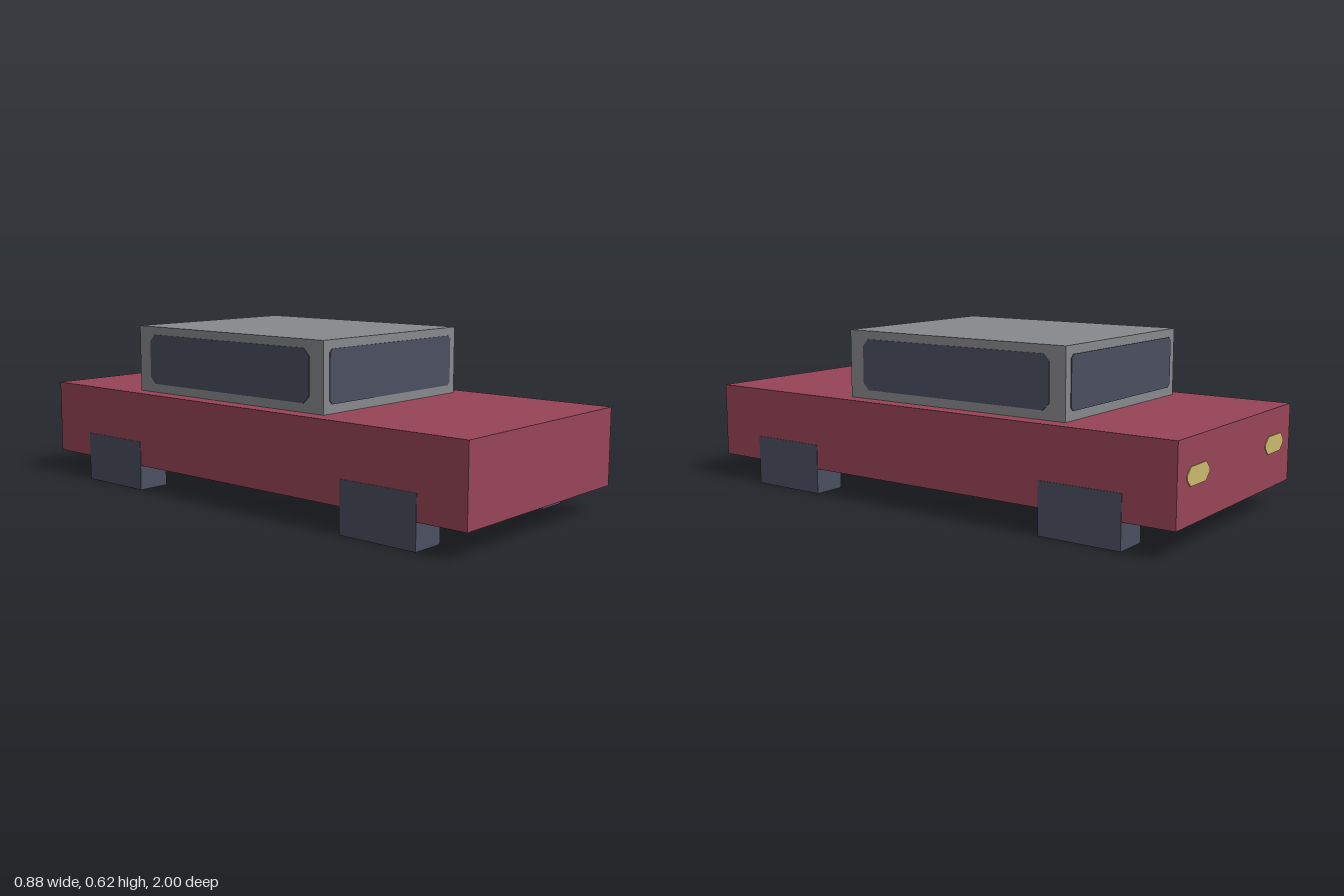
import * as THREE from 'three';

const mat = (name, color) => {
  const m = new THREE.MeshStandardMaterial({ color });
  m.name = name;
  return m;
};

export function createModel() {
  const car = new THREE.Group();
  car.name = 'car';
  const red = mat('red paint', 0x984458);
  const grey = mat('grey cabin', 0x88898d);
  const dark = mat('dark glass and tyre', 0x4b4f5f);
  const yellow = mat('yellow lamp', 0xcbba6d);

  // Box given by its min and max corners
  const box = (name, material, [x0, y0, z0], [x1, y1, z1]) => {
    const mesh = new THREE.Mesh(new THREE.BoxGeometry(x1 - x0, y1 - y0, z1 - z0), material);
    mesh.position.set((x0 + x1) / 2, (y0 + y1) / 2, (z0 + z1) / 2);
    mesh.name = name;
    car.add(mesh);
  };

  // Thin plate with cut corners, standing off the surface it is placed on
  const plate = (name, material, w, h, cut, position, turn) => {
    const a = w / 2, b = h / 2;
    const shape = new THREE.Shape([
      [a - cut, -b], [a, cut - b], [a, b - cut], [a - cut, b],
      [cut - a, b], [-a, b - cut], [-a, cut - b], [cut - a, -b],
    ].map(([x, y]) => new THREE.Vector2(x, y)));
    const geometry = new THREE.ExtrudeGeometry(shape, { depth: 0.003, bevelEnabled: false });
    const mesh = new THREE.Mesh(geometry, material);
    mesh.position.set(...position);
    mesh.rotation.y = turn;
    mesh.name = name;
    car.add(mesh);
  };

  // Body and cabin
  box('body', red, [-0.4375, 0.095, -1], [0.4375, 0.375, 1]);
  box('cabin', grey, [-0.375, 0.375, -0.5625], [0.375, 0.625, 0.375]);

  // Windscreens
  plate('frontWindow', dark, 0.6875, 0.1875, 0.012, [0, 0.501, 0.375], 0);
  plate('rearWindow', dark, 0.6875, 0.1875, 0.012, [0, 0.501, -0.5625], Math.PI);

  for (const [side, s] of [['left', 1], ['right', -1]]) {
    plate(side + 'Window', dark, 0.8125, 0.1875, 0.025, [s * 0.375, 0.501, -0.094], s * Math.PI / 2);
    plate(side + 'RearLamp', yellow, 0.156, 0.0625, 0.025, [s * 0.298, 0.25, -1], Math.PI);

    // Square wheels, just proud of the body sides
    for (const [end, z] of [['Front', 0.656], ['Rear', -0.656]]) {
      const x0 = s > 0 ? 0.3125 : -0.4395;
      box(side + end + 'Wheel', dark, [x0, 0, z - 0.156], [x0 + 0.127, 0.1875, z + 0.156]);
    }
  }
  return car;
}
